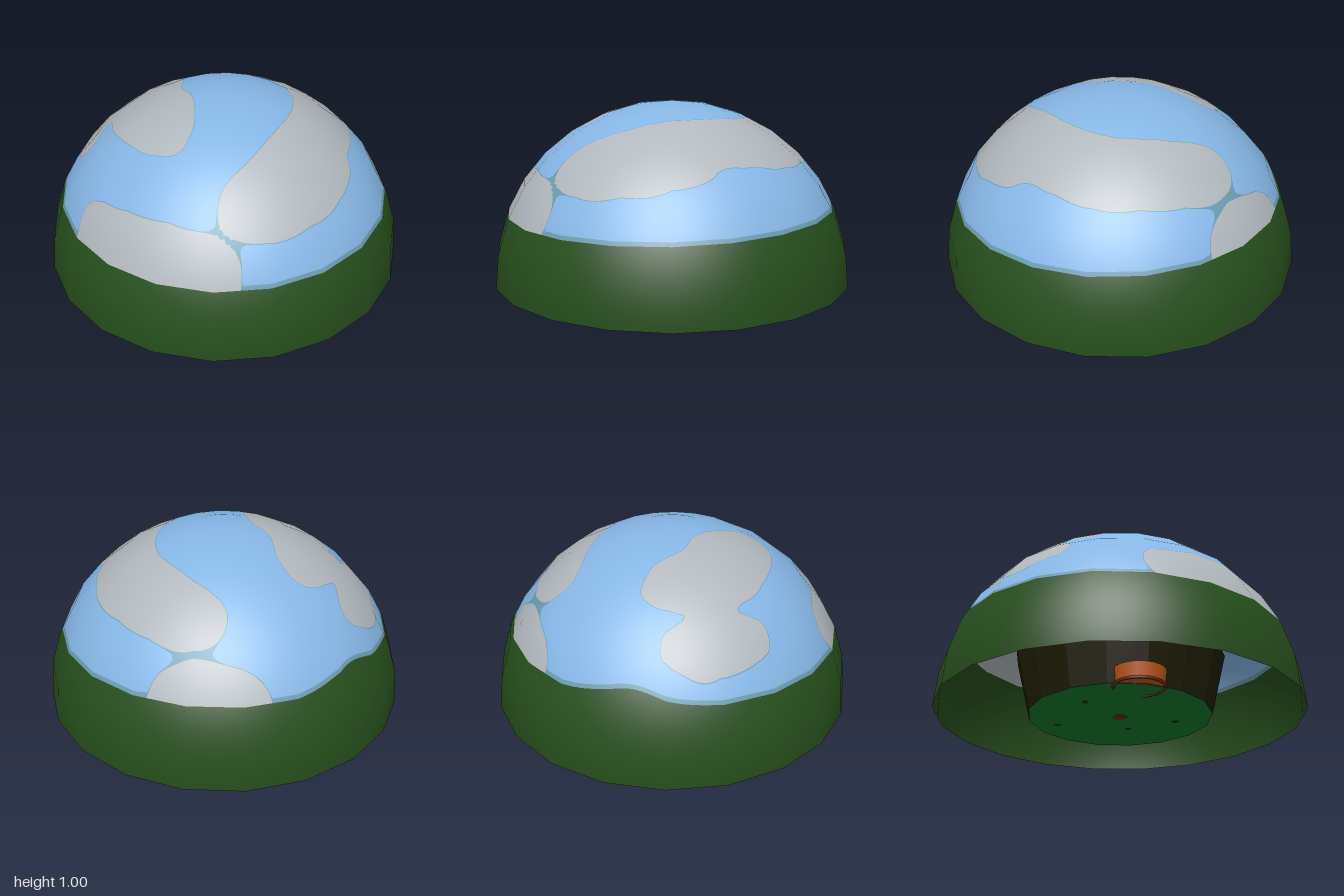
import * as THREE from 'three';

const mat = (name, color, side = THREE.FrontSide, flatShading = false) => {
  const m = new THREE.MeshStandardMaterial({ color, side, flatShading });
  m.name = name;
  return m;
};

const BASE = 0.008;          // height of the dome rim and the platform underside
const SIDES = 20, RINGS = 8; // facets of the dome
const FINE = 8;              // paint subdivisions per facet

// Cloud outlines as closed smooth curves seen from above (x, z)
const outline = pts =>
  new THREE.CatmullRomCurve3(pts.map(([x, z]) => new THREE.Vector3(x, 0, z)), true).getPoints(110);
const waistedCloud = outline([[-.61, -.58], [-.43, -.65], [-.39, -.6], [-.42, -.5], [-.43, -.455], [-.38, -.475],
  [-.3, -.51], [-.19, -.505], [-.145, -.36], [-.195, -.16], [-.17, -.02], [-.24, .25], [-.34, .34], [-.48, .25],
  [-.59, -.06], [-.585, -.245], [-.64, -.21], [-.71, -.165], [-.77, -.23], [-.7, -.46]]);
const curvedCloud = outline([[.24, -.55], [.32, -.63], [.48, -.58], [.65, -.33], [.72, 0], [.65, .24], [.58, .36],
  [.55, .48], [.35, .7], [0, .81], [-.22, .72], [-.18, .6], [0, .49], [.3, .21], [.39, -.02], [.34, -.27]]);
const frontCloud = outline([[-.86, .25], [-.81, .215], [-.74, .27], [-.65, .41], [-.53, .54], [-.4, .645], [-.23, .75],
  [-.15, .84], [-.22, .95], [-.6, .8], [-.88, .4]]);
const backCloud = outline([[.15, -.86], [.3, -.73], [.48, -.61], [.66, -.56], [.74, -.66], [.5, -.88], [.2, -.96]]);
const cloudOutlines = [waistedCloud, curvedCloud, frontCloud, backCloud];

// Signed distance to an outline, negative inside
function outlineDistance(pts, x, z) {
  let best = Infinity, inside = false;
  for (let i = 0; i < pts.length - 1; i++) {
    const a = pts[i], b = pts[i + 1];
    const dx = b.x - a.x, dz = b.z - a.z;
    const t = THREE.MathUtils.clamp(((x - a.x) * dx + (z - a.z) * dz) / (dx * dx + dz * dz), 0, 1);
    best = Math.min(best, Math.hypot(x - a.x - t * dx, z - a.z - t * dz));
    if ((a.z > z) !== (b.z > z) && x < a.x + (z - a.z) / dz * dx) inside = !inside;
  }
  return inside ? -best : best;
}

const smoothMin = (a, b, k) => {
  const h = Math.max(k - Math.abs(a - b), 0) / k;
  return Math.min(a, b) - h * h * k / 4;
};

// Paint fields at a dome point: below the hills, in a cloud, in the haze edge
function paintPoint(p) {
  const rise = .06 * Math.exp(-((p.x + .34) ** 2 + (p.z + .79) ** 2) / .04);
  const hills = p.y - (.415 - .025 * p.z + .008 * p.x + rise);
  const d = cloudOutlines.map(o => outlineDistance(o, p.x, p.z));
  const clouds = Math.min(...d);
  const haze = Math.min(d.reduce((a, b) => smoothMin(a, b, .08)) - .003, hills - .02);
  return [p.x, p.y, p.z, hills, clouds, haze];
}

// Cut a polygon where one of its fields changes sign
function split(poly, field) {
  const low = [], high = [];
  poly.forEach((a, i) => {
    const b = poly[(i + 1) % poly.length];
    (a[field] < 0 ? low : high).push(a);
    if ((a[field] < 0) !== (b[field] < 0)) {
      const t = a[field] / (a[field] - b[field]);
      const cut = a.map((v, j) => v + (b[j] - v) * t);
      low.push(cut);
      high.push(cut);
    }
  });
  return [low, high];
}

// Faceted, smooth-shaded dome separated into its painted areas
function buildDome() {
  const group = new THREE.Group();
  group.name = 'dome';
  const areas = { hills: [], clouds: [], haze: [], sky: [] };
  const corner = (i, j) => {
    const a = (i / SIDES) * Math.PI * 2 + .016, e = (j / RINGS) * Math.PI / 2;
    return new THREE.Vector3(Math.cos(e) * Math.sin(a), BASE + (1 - BASE) * Math.sin(e), -Math.cos(e) * Math.cos(a));
  };
  const add = (list, poly) => {
    for (let i = 1; i < poly.length - 1; i++) list.push(poly[0], poly[i], poly[i + 1]);
  };
  const paint = tri => {
    const [hills, above] = split(tri, 3);
    const [clouds, clear] = split(above, 4);
    const [haze, sky] = split(clear, 5);
    add(areas.hills, hills);
    add(areas.clouds, clouds);
    add(areas.haze, haze);
    add(areas.sky, sky);
  };
  for (let i = 0; i < SIDES; i++) for (let j = 0; j < RINGS; j++) {
    const a = corner(i, j), b = corner(i + 1, j), c = corner(i, j + 1), d = corner(i + 1, j + 1);
    const grid = [];
    for (let v = 0; v <= FINE; v++) for (let u = 0; u <= FINE; u++) {
      const low = a.clone().lerp(b, u / FINE), high = c.clone().lerp(d, u / FINE);
      grid.push(paintPoint(low.lerp(high, v / FINE)));
    }
    for (let v = 0; v < FINE; v++) for (let u = 0; u < FINE; u++) {
      const k = v * (FINE + 1) + u, n = k + FINE + 1;
      paint([grid[k], grid[n], grid[k + 1]]);
      if (j < RINGS - 1 || v < FINE - 1) paint([grid[k + 1], grid[n], grid[n + 1]]);
    }
  }
  const colours = { hills: 0x274e1d, clouds: 0xb1b7bc, haze: 0x6b9bb0, sky: 0x86b6e5 };
  for (const [name, verts] of Object.entries(areas)) {
    const geo = new THREE.BufferGeometry();
    geo.setAttribute('position', new THREE.Float32BufferAttribute(verts.flatMap(p => p.slice(0, 3)), 3));
    geo.setAttribute('normal', new THREE.Float32BufferAttribute(
      verts.flatMap(p => new THREE.Vector3(p[0], p[1], p[2]).normalize().toArray()), 3));
    const mesh = new THREE.Mesh(geo, mat(name + 'Paint', colours[name], THREE.DoubleSide));
    mesh.name = name;
    group.add(mesh);
  }
  return group;
}

export function createModel() {
  const model = new THREE.Group();
  model.name = 'paintedDome';
  model.add(buildDome());

  const part = (name, geo, material, x, y, z) => {
    const mesh = new THREE.Mesh(geo, material);
    mesh.name = name;
    mesh.position.set(x, y, z);
    model.add(mesh);
    return mesh;
  };
  const olive = mat('oliveWall', 0x1f1f08, THREE.FrontSide, true);
  const floor = mat('greenFloor', 0x187c2e, THREE.FrontSide, true);
  const darkGreen = mat('darkGreen', 0x0e3c1a);
  const black = mat('black', 0x030303);
  const orange = mat('burntOrange', 0xc05a1c);
  const brown = mat('brown', 0x6a2e10);

  // Many-sided platform under the dome, flaring upward
  part('platform', new THREE.CylinderGeometry(.58, .5, .33, 16, 1, false, Math.PI / 2),
    [olive, floor, floor], 0, BASE + .165, 0);

  // Box on the side of the platform
  part('sideBox', new THREE.BoxGeometry(.2, .2, .24), black, .585, .205, -.065);

  // Round tub with a thin ring, poking out past the platform edge
  part('tub', new THREE.CylinderGeometry(.14, .13, .08, 20), orange, -.43, BASE + .042, .15);
  part('tubRing', new THREE.TorusGeometry(.13, .008, 6, 28, Math.PI * 1.5), brown, -.43, .008, .15)
    .rotation.x = Math.PI / 2;

  // Small stubs showing through the platform underside
  part('centreStub', new THREE.CylinderGeometry(.04, .04, .004, 6), brown, 0, .008, 0);
  for (const [x, z] of [[.08, -.36], [.2, .02], [.11, .29], [-.25, -.15]])
    part('stub', new THREE.CylinderGeometry(.018, .018, .004, 6), darkGreen, x, .008, z);

  return model;
}
